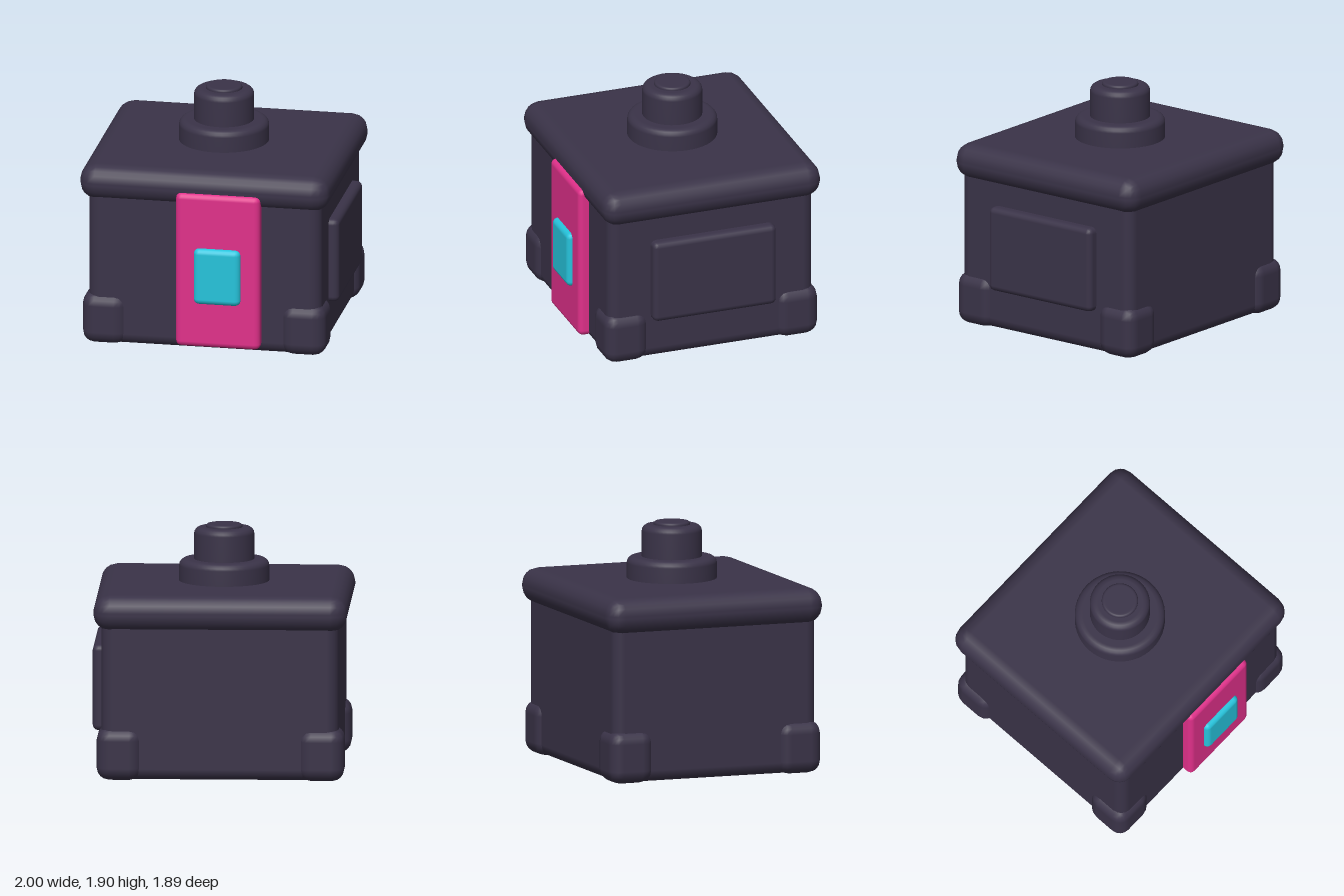
import * as THREE from 'three';
import { RoundedBoxGeometry } from 'three/addons/geometries/RoundedBoxGeometry.js';

export function createModel() {
  const model = new THREE.Group();
  model.name = 'capBox';
  const mat = (name, color) => {
    const m = new THREE.MeshStandardMaterial({ color });
    m.name = name;
    return m;
  };
  const dark = mat('dark plum', 0x3a3348);
  const pink = mat('magenta', 0xe0308a);
  const cyan = mat('cyan', 0x26c4dc);

  const add = (name, geometry, material) => {
    const mesh = new THREE.Mesh(geometry, material);
    mesh.name = name;
    model.add(mesh);
    return mesh;
  };
  // Rounded block given by its extents on each axis
  const block = (name, [x0, x1], [y0, y1], [z0, z1], radius, material = dark) => {
    const g = new RoundedBoxGeometry(x1 - x0, y1 - y0, z1 - z0, 2, radius);
    add(name, g, material).position.set((x0 + x1) / 2, (y0 + y1) / 2, (z0 + z1) / 2);
  };

  // Main body and overhanging lid
  block('body', [-0.93, 0.92], [0.003, 1.36], [-0.88, 0.82], 0.09);
  block('lid', [-1, 0.983], [1.18, 1.46], [-0.943, 0.87], 0.13);

  // Four corner feet
  for (const [sideX, xs] of [['right', [-0.977, -0.617]], ['left', [0.6, 0.957]]]) {
    for (const [sideZ, zs] of [['Front', [0.495, 0.853]], ['Back', [-0.917, -0.56]]]) {
      block(sideX + sideZ + 'Foot', xs, [0, 0.415], zs, 0.1);
    }
  }

  // Front strip with its button, and the panel on the left side
  block('frontStrip', [-0.218, 0.452], [0.048, 1.303], [0.78, 0.903], 0.045, pink);
  block('frontButton', [-0.07, 0.303], [0.41, 0.867], [0.83, 0.944], 0.045, cyan);
  block('sidePanel', [0.86, 1], [0.34, 1.018], [-0.543, 0.48], 0.045);

  // Stepped knob on the lid: rounded discs turned from a profile
  const disc = (name, r, y0, y1, bevel) => {
    const points = [new THREE.Vector2(r, y0)];
    for (let i = 0; i <= 4; i++) {
      const a = (i / 4) * Math.PI / 2;
      points.push(new THREE.Vector2(r - bevel + bevel * Math.cos(a), y1 - bevel + bevel * Math.sin(a)));
    }
    points.push(new THREE.Vector2(r - bevel - 0.01, y1), new THREE.Vector2(0, y1));
    add(name, new THREE.LatheGeometry(points, 48), dark).position.set(-0.008, 0, -0.038);
  };
  disc('knobBase', 0.352, 1.42, 1.63, 0.05);
  disc('knobPost', 0.235, 1.6, 1.88, 0.05);
  disc('knobCap', 0.142, 1.85, 1.905, 0.018);

  return model;
}
